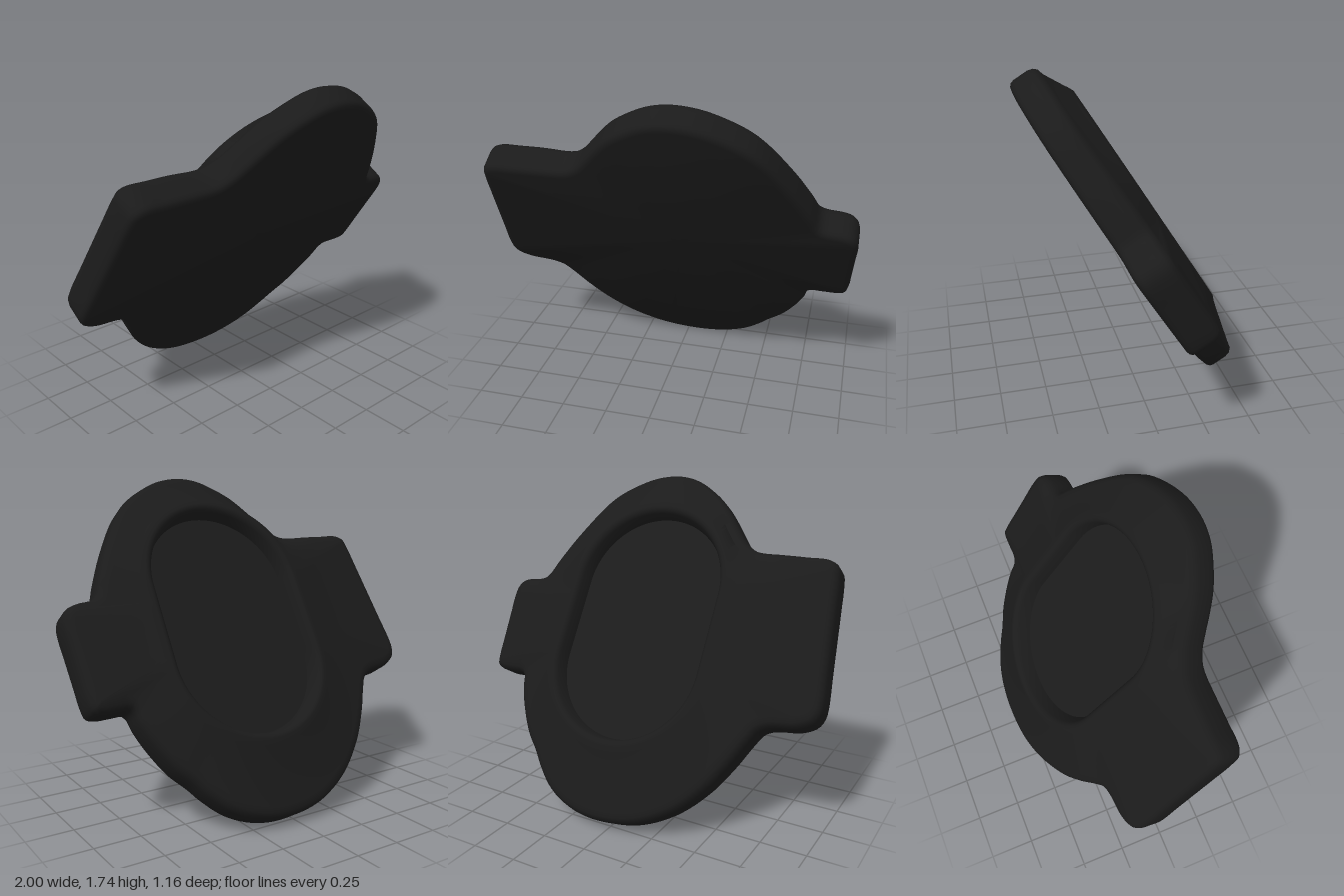
import * as THREE from 'three';
import { toCreasedNormals } from 'three/addons/utils/BufferGeometryUtils.js';

const N = 280;
const CX = 0.08, CY = 1.02; // centre of the recess in the plate's own plane

// Outline of the plate in its own plane: disc with a tab on each side
const UPPER = [
  [-0.998, 0.79], [-0.982, 0.95], [-0.965, 1.12], [-0.947, 1.3], [-0.934, 1.42], [-0.917, 1.49], [-0.87, 1.52],
  [-0.75, 1.522], [-0.6, 1.522], [-0.5, 1.524], [-0.45, 1.535], [-0.39, 1.575], [-0.33, 1.645],
  [-0.27, 1.72], [-0.19, 1.805], [-0.09, 1.875], [0.0, 1.92], [0.1, 1.938], [0.2, 1.93], [0.3, 1.9],
  [0.45, 1.815], [0.54, 1.73], [0.67, 1.52], [0.755, 1.345], [0.805, 1.235],
  [0.84, 1.217], [0.91, 1.207], [0.965, 1.185], [0.993, 1.145], [1.0, 1.09],
];
const LOWER = [
  [0.993, 0.97], [0.984, 0.82], [0.976, 0.7], [0.962, 0.65], [0.92, 0.634], [0.84, 0.634], [0.768, 0.63],
  [0.743, 0.55], [0.7, 0.445], [0.62, 0.305], [0.54, 0.215],
  [0.48, 0.14], [0.38, 0.045], [0.25, -0.02], [0.08, -0.047], [-0.15, -0.015],
  [-0.35, 0.09], [-0.5, 0.24], [-0.6, 0.395], [-0.67, 0.53], [-0.71, 0.593], [-0.76, 0.62],
  [-0.9, 0.645], [-0.97, 0.685], [-0.995, 0.735],
];

// Outline points with outward normals, counter-clockwise from the front
function sampleOutline() {
  const pts = [...UPPER, ...LOWER].reverse().map(([x, y]) => new THREE.Vector3(x, y, 0));
  const curve = new THREE.CatmullRomCurve3(pts, true, 'centripetal');
  const p = curve.getSpacedPoints(N).slice(0, N);
  return p.map((q, i) => {
    const t = p[(i + 1) % N].clone().sub(p[(i + N - 1) % N]).normalize();
    return { x: q.x, y: q.y, nx: t.y, ny: -t.x };
  });
}

// Stadium-shaped recess, grown by g, in the direction of an outline point
function stadiumPoint(o, g) {
  const R = 0.413 + g, h = 0.22;
  const a = Math.atan2(o.y - CY, o.x - CX);
  const c = Math.abs(Math.cos(a)), s = Math.abs(Math.sin(a));
  const r = R * s <= h * c ? R / c : s * h + Math.sqrt(R * R - h * h * c * c);
  return [CX + r * Math.cos(a), CY + r * Math.sin(a)];
}

function plateGeometry() {
  const outline = sampleOutline();
  // Tabs are a little thicker than the ends of the disc
  const thickness = (o) => 0.17 + 0.018 * THREE.MathUtils.smoothstep(Math.abs(o.x - CX), 0.45, 0.75);
  const edge = (inset, depth) => outline.map((o) =>
    [o.x - o.nx * inset, o.y - o.ny * inset, -depth(thickness(o))]);
  const oval = (grow, d) => outline.map((o) => [...stadiumPoint(o, grow), -d]);
  const centre = (d) => outline.map(() => [CX, CY, -d]);

  // Rings from the front centre, round the rim, to the recess floor
  const rings = [
    centre(0),
    edge(0.035, () => 0),
    edge(0.017, () => 0.005),
    edge(0.005, () => 0.017),
    edge(0, () => 0.035),
    edge(0, (t) => t - 0.055),
    edge(0.007, (t) => t - 0.027),
    edge(0.025, (t) => t - 0.007),
    edge(0.055, (t) => t),
    oval(0.08, 0.236),
    oval(0.05, 0.25),
    oval(0.035, 0.249),
    oval(0.022, 0.24),
    oval(0.012, 0.225),
    oval(0, 0.155),
    centre(0.155),
  ];

  const index = [];
  for (let r = 0; r < rings.length - 1; r++) {
    for (let k = 0; k < N; k++) {
      const k2 = (k + 1) % N;
      const a = r * N + k, b = (r + 1) * N + k, c = (r + 1) * N + k2, d = r * N + k2;
      if (r < rings.length - 2) index.push(a, b, c);
      if (r > 0) index.push(a, c, d);
    }
  }
  const geo = new THREE.BufferGeometry();
  geo.setAttribute('position', new THREE.Float32BufferAttribute(rings.flat(2), 3));
  geo.setIndex(index);
  return toCreasedNormals(geo, 0.9);
}

export function createModel() {
  const black = new THREE.MeshStandardMaterial({ color: 0x1b1b1b });
  black.name = 'matte black';

  const plate = new THREE.Mesh(plateGeometry(), black);
  plate.name = 'recessedPlate';
  // Lean the plate so its top comes forward
  plate.rotation.x = 0.555;
  plate.position.set(0, 0.024, -0.43);

  const model = new THREE.Group();
  model.name = 'tiltedPlate';
  model.add(plate);
  return model;
}
